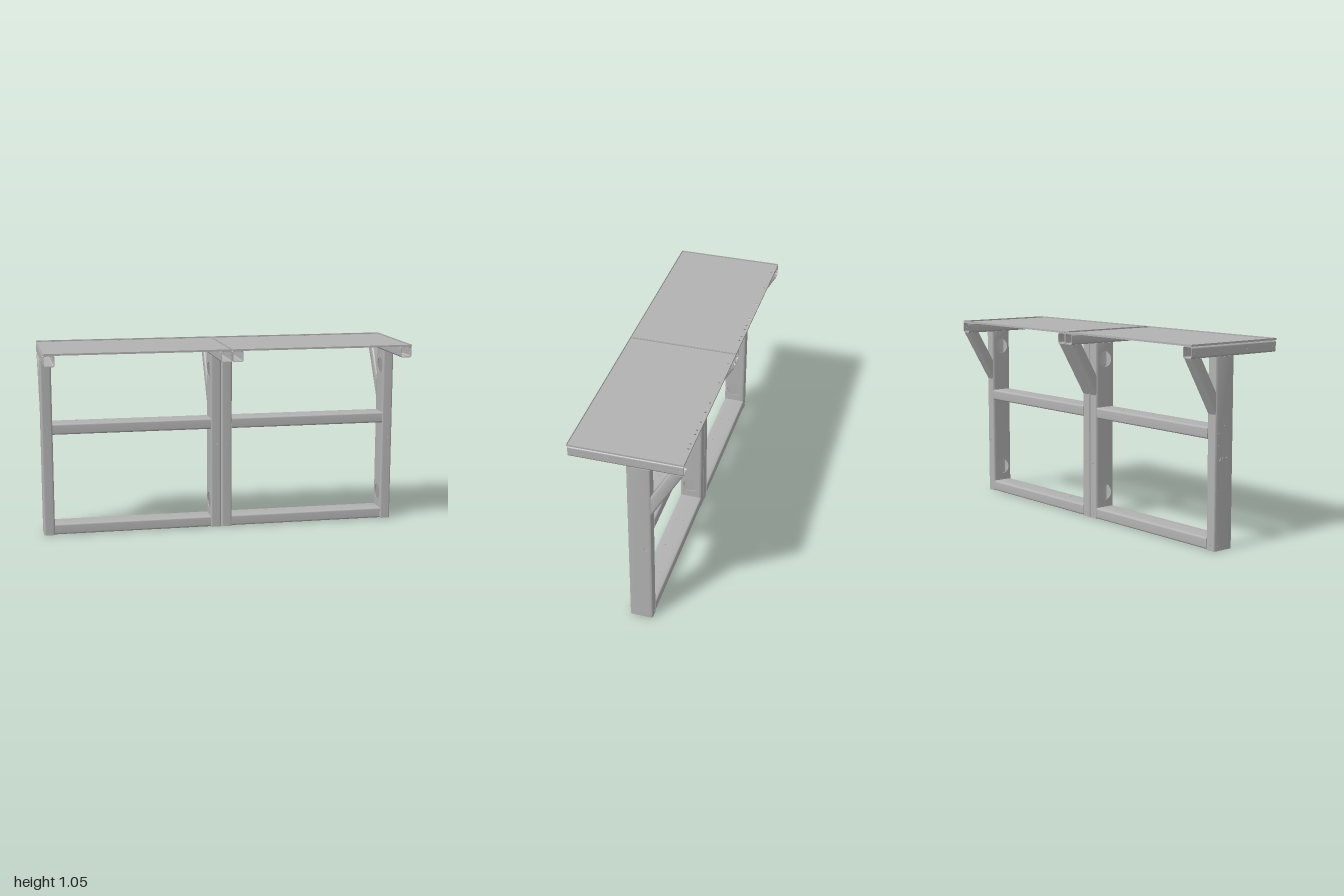
import * as THREE from 'three';
import { mergeGeometries, toCreasedNormals } from 'three/addons/utils/BufferGeometryUtils.js';

const steel = new THREE.MeshStandardMaterial({ color: 0xb2b2b2 });
steel.name = 'grey steel';

const WALL = 0.004, R = 0.01;
const POST_Z = -0.066, POST_D = 0.122, W = 0.06, POST_H = 0.98;

// Flat sheet with round holes [u, v, radius]
function sheet(u0, u1, v0, v1, thick, holes = []) {
  const s = new THREE.Shape();
  s.moveTo(u0, v0);
  s.lineTo(u1, v0);
  s.lineTo(u1, v1);
  s.lineTo(u0, v1);
  s.closePath();
  for (const [u, v, r] of holes) {
    const p = new THREE.Path();
    p.absarc(u, v, r, 0, Math.PI * 2, true);
    s.holes.push(p);
  }
  return new THREE.ExtrudeGeometry(s, { depth: thick, bevelEnabled: false, curveSegments: 10 });
}

// Open hollow section standing on y = 0; holes are listed by side: 0 +z, 1 +x, 2 -z, 3 -x
function tube(w, d, len, holes = {}) {
  const parts = [];
  for (let k = 0; k < 4; k++) {
    const [span, out] = k % 2 ? [d, w] : [w, d];
    const h = span / 2 - R;
    const g = sheet(-h, h, 0, len, WALL, holes[k]);
    g.translate(0, 0, out / 2 - WALL).rotateY(k * Math.PI / 2);
    parts.push(g);

    // rounded corner
    const c = new THREE.Shape();
    c.absarc(0, 0, R, 0, Math.PI / 2, false);
    c.absarc(0, 0, R - WALL, Math.PI / 2, 0, true);
    const q = new THREE.ExtrudeGeometry(c, { depth: len, bevelEnabled: false, curveSegments: 4 });
    q.rotateX(-Math.PI / 2).rotateY(k * Math.PI / 2);
    const sx = k === 0 || k === 3 ? 1 : -1, sz = k < 2 ? -1 : 1;
    q.translate(sx * (w / 2 - R), 0, sz * (d / 2 - R));
    parts.push(q);
  }
  return toCreasedNormals(mergeGeometries(parts), 0.6);
}

function add(parent, name, geometry, x, y, z) {
  const m = new THREE.Mesh(geometry, steel);
  m.name = name;
  m.position.set(x, y, z);
  parent.add(m);
}

// Upright with bolt holes outside and two cable openings inside
function postGeometry(side) {
  const bolts = [[-0.065, 0.635], [-0.105, 0.6], [-0.105, 0.54], [-0.05, 0.473],
    [-0.075, 0.473], [-0.105, 0.313], [-0.105, 0.025]];
  const outer = bolts.map(([z, y]) => [-side * (z - POST_Z), y, 0.003]);
  outer.push([-side * (-0.1 - POST_Z), 0.473, 0.013]);
  const inner = [0.145, 0.89].map(y => [0, y, 0.044]);
  const front = [[side * 0.005, 0.48, 0.004]];
  const back = [[0, 0.31, 0.003], [0, 0.025, 0.003]];
  return tube(W, POST_D, POST_H, { 0: front, 2: back, [side > 0 ? 1 : 3]: outer, [side > 0 ? 3 : 1]: inner });
}

// Diagonal brace, cut upright at the post and level under the arm
function braceGeometry() {
  const g = tube(W, W, 1), p = g.attributes.position;
  const a = Math.PI / 3, s = Math.sin(a), c = Math.cos(a), y0 = 0.753, z0 = -0.127;
  for (let i = 0; i < p.count; i++) {
    const q = p.getZ(i);
    const v = p.getY(i) < 0.5 ? q * Math.tan(a) : (POST_H - y0 - q * c) / s;
    p.setXYZ(i, p.getX(i), y0 + v * s + q * c, z0 - v * c + q * s);
  }
  return toCreasedNormals(g, 0.6);
}

// Shallow tray with an upturned rim
function trayGeometry(x0, x1, holeXs) {
  const z0 = -0.296, z1 = 0.295, t = 0.003, y = 1.04, top = 1.05;
  const holes = holeXs.map(x => [x, 0.278, 0.006]);
  const floor = sheet(x0, x1, -z1, -z0, t, holes).rotateX(-Math.PI / 2).translate(0, y, 0);
  const parts = [floor];
  const h = top - y - t, yc = top - h / 2;
  const rim = (w, d, x, z) => parts.push(new THREE.BoxGeometry(w, h, d).toNonIndexed().translate(x, yc, z));
  for (const x of [x0 + t / 2, x1 - t / 2]) rim(t, z1 - z0, x, (z0 + z1) / 2);
  for (const z of [z0 + t / 2, z1 - t / 2]) rim(x1 - x0 - 2 * t, t, (x0 + x1) / 2, z);
  return mergeGeometries(parts);
}

export function createModel() {
  const model = new THREE.Group();
  model.name = 'workbenchFrame';

  const holeXs = [-0.905, -0.72, -0.535, -0.45, -0.365, -0.295, -0.255, -0.18, -0.14,
    0.095, 0.28, 0.465, 0.55, 0.635, 0.705, 0.74, 0.82, 0.86];
  const brace = braceGeometry();

  for (const unit of [-1, 1]) {
    const bay = new THREE.Group();
    bay.name = unit < 0 ? 'rightBay' : 'leftBay';
    model.add(bay);
    const cx = unit * 0.5;

    // uprights, arms and braces at both ends of the bay
    for (const side of [-1, 1]) {
      const x = cx + side * 0.4695;
      add(bay, 'post', postGeometry(side), x, 0, POST_Z);
      const bolts = [-0.277, -0.098, 0.085, 0.265].map(z => [0, z + 0.295, 0.003]);
      const arm = tube(W, W, 0.585, { [side > 0 ? 1 : 3]: bolts }).rotateX(Math.PI / 2);
      add(bay, 'topArm', arm, x, 1.01, -0.295);
      add(bay, 'brace', brace, x, 0, 0);
    }

    // cross rails with small holes on top
    for (const [name, y, spots] of [
      ['lowerRail', 0.032, [0.22, 0.44, 0.66]],
      ['middleRail', 0.595, [0.14, 0.3, 0.34, 0.5, 0.54, 0.7, 0.74]],
    ]) {
      const holes = spots.flatMap(v => [[-0.02, v, 0.003], [0.02, v, 0.003]]);
      const rail = tube(W, POST_D, 0.88, { 3: holes }).rotateZ(-Math.PI / 2);
      add(bay, name, rail, cx - 0.44, y, POST_Z);
    }

    // worktop
    const x0 = unit < 0 ? -1 : 0.001, x1 = unit < 0 ? -0.001 : 1;
    add(bay, 'worktop', trayGeometry(x0, x1, holeXs.filter(x => x * unit > 0)), 0, 0, 0);
  }
  return model;
}
